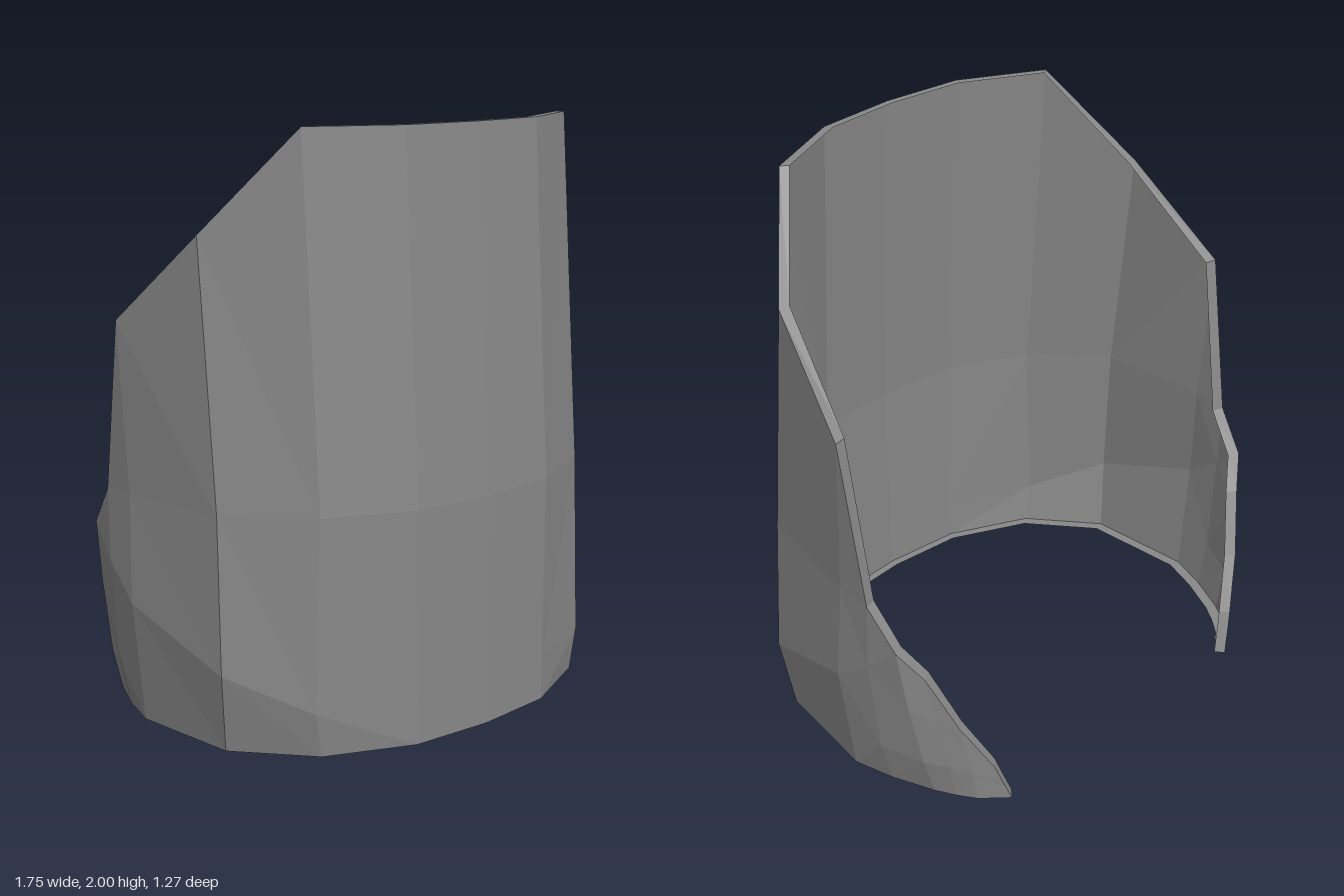
import * as THREE from 'three';

// Half of the wall: columns from the front centre round to the rear tip.
// Each column lists [x, y, z] from the bottom edge to the upper edge.
const HALF = [
  [[0, 0.01, 0.637], [0, 0.16, 0.637], [0, 0.8, 0.637], [0, 2, 0.56]],
  [[0.295, 0.01, 0.613], [0.295, 0.16, 0.613], [0.295, 0.8, 0.613], [0.29, 2, 0.537]],
  [[0.59, 0.01, 0.48], [0.615, 0.16, 0.485], [0.59, 0.8, 0.48], [0.585, 2, 0.393]],
  [[0.79, 0.01, 0.24], [0.825, 0.28, 0.27], [0.81, 0.8, 0.24], [0.8, 1.67, 0.15]],
  [[0.83, 0.01, -0.15], [0.877, 0.43, -0.14], [0.862, 0.8, -0.16], [0.872, 1.37, -0.195]],
  [[0.787, 0.01, -0.294], [0.83, 0.18, -0.29], [0.862, 0.54, -0.28], [0.86, 0.79, -0.29]],
  [[0.724, 0.01, -0.44], [0.765, 0.16, -0.435], [0.81, 0.42, -0.415], [0.838, 0.65, -0.4]],
  [[0.685, 0.008, -0.505], [0.71, 0.15, -0.502], [0.742, 0.35, -0.48], [0.77, 0.54, -0.458]],
  [[0.64, 0.005, -0.565], [0.656, 0.12, -0.558], [0.674, 0.23, -0.548], [0.692, 0.33, -0.537]],
  [[0.55, 0, -0.637], [0.567, 0.05, -0.626], [0.584, 0.1, -0.616], [0.6, 0.15, -0.605]],
];
const RIM_SCALE = 0.953;

const mirrored = HALF.slice(1).reverse().map(col => col.map(([x, y, z]) => [-x, y, z]));
const COLS = [...mirrored, ...HALF];
const MID = HALF.length - 1, LAST = COLS.length - 1, TOP = HALF[0].length - 1;

// Geometry from quads of corner points, each split along the chosen diagonal
function quadGeometry(quads) {
  const pos = quads.flatMap(([a, b, c, d, flip]) =>
    (flip ? [a, b, d, b, c, d] : [a, b, c, a, c, d]).flat());
  const geo = new THREE.BufferGeometry();
  geo.setAttribute('position', new THREE.Float32BufferAttribute(pos, 3));
  geo.computeVertexNormals();
  return geo;
}

// Curved single-layer wall, open at the back
function wallGeometry() {
  const quads = [];
  for (let i = 0; i < LAST; i++) {
    for (let j = 0; j < TOP; j++) {
      quads.push([COLS[i][j], COLS[i + 1][j], COLS[i + 1][j + 1], COLS[i][j + 1], i < MID]);
    }
  }
  return quadGeometry(quads);
}

// Narrow flange turned inwards along the whole border of the wall
function rimGeometry() {
  const border = [
    ...COLS.map(col => col[TOP]),
    ...COLS[LAST].slice(0, TOP).reverse(),
    ...COLS.slice(0, LAST).reverse().map(col => col[0]),
    ...COLS[0].slice(1, TOP),
  ];
  const inset = border.map(([x, y, z]) => [x * RIM_SCALE, y, z * RIM_SCALE]);
  return quadGeometry(border.map((p, i) => {
    const n = (i + 1) % border.length;
    return [p, border[n], inset[n], inset[i], false];
  }));
}

export function createModel() {
  const grey = new THREE.MeshStandardMaterial({ color: 0x888888, flatShading: true, side: THREE.DoubleSide });
  grey.name = 'grey';
  const group = new THREE.Group();
  group.name = 'openCuff';
  for (const [name, geo] of [['curvedWall', wallGeometry()], ['rim', rimGeometry()]]) {
    const mesh = new THREE.Mesh(geo, grey);
    mesh.name = name;
    group.add(mesh);
  }
  return group;
}
